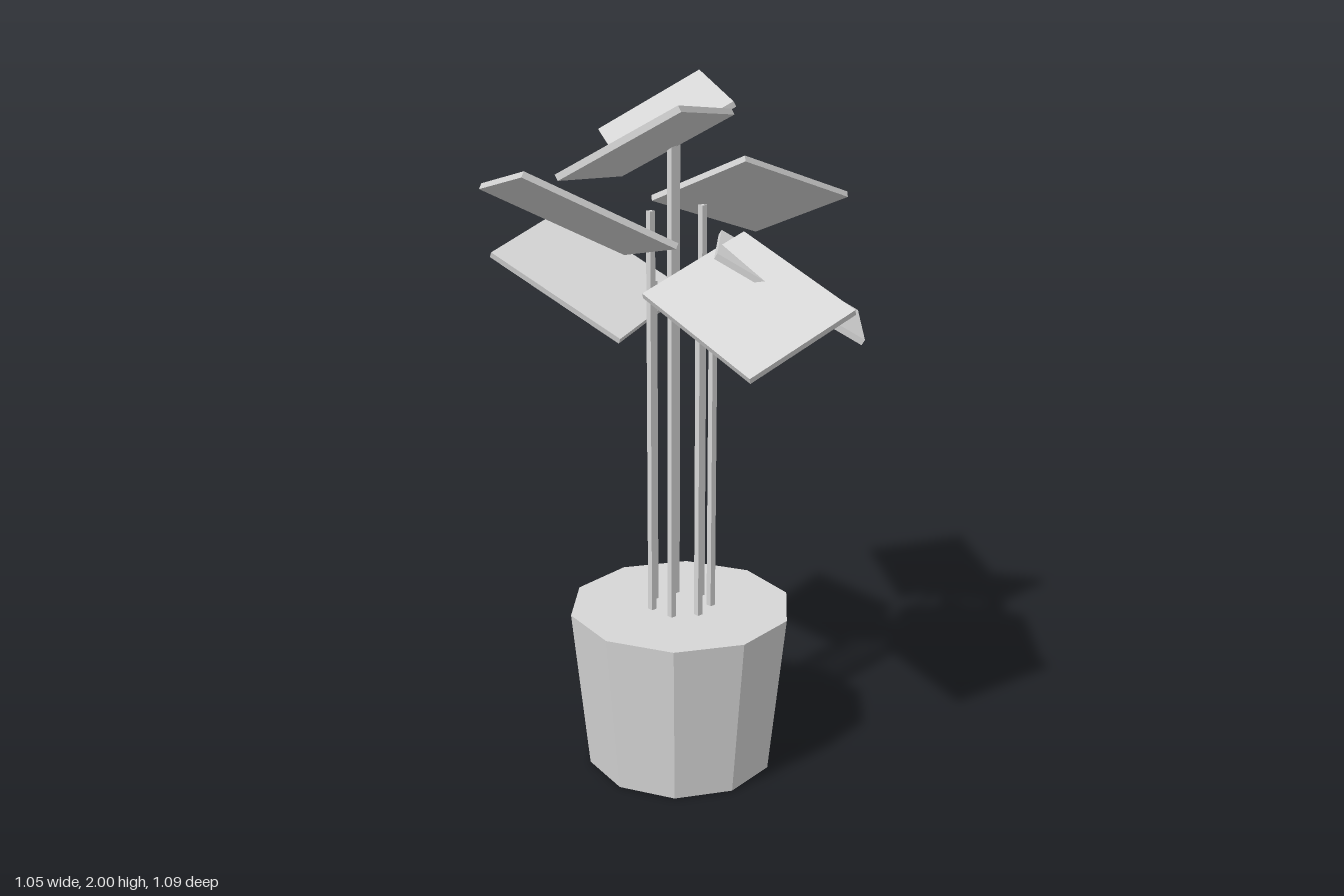
import * as THREE from 'three';

export function createModel() {
  const model = new THREE.Group();
  model.name = 'pottedPlant';
  const grey = new THREE.MeshStandardMaterial({ color: 0xd6d6d6 });
  grey.name = 'light grey';
  grey.flatShading = true;

  const plant = new THREE.Group();
  plant.name = 'plant';
  plant.position.x = 0.02;
  model.add(plant);

  const add = (name, geometry, x, y, z) => {
    const mesh = new THREE.Mesh(geometry, grey);
    mesh.name = name;
    mesh.position.set(x, y, z);
    plant.add(mesh);
  };

  // Ten-sided tapered pot
  const potHeight = 0.49;
  add('pot', new THREE.CylinderGeometry(0.331, 0.281, potHeight, 10), 0, potHeight / 2, 0);

  // Ring of seven square stems, each with a tilted flat leaf
  const low = 1.458, middle = 1.668, high = 1.88;
  const heights = [low, low, high, middle, low, high, middle];
  heights.forEach((top, i) => {
    const angle = (i / heights.length) * Math.PI * 2;
    const c = Math.cos(angle), s = Math.sin(angle);

    const base = potHeight - 0.02;
    add('stem' + (i + 1), new THREE.CylinderGeometry(0.0125, 0.0125, top - base, 4),
      0.09 * c, (top + base) / 2, 0.09 * s);

    // The leaf points outwards while its tilt turns twice as fast around the ring
    const leaf = new THREE.BoxGeometry(0.458, 0.017, 0.352)
      .rotateY(angle).rotateZ(-Math.PI / 6).rotateY(-2 * angle);
    add('leaf' + (i + 1), leaf, 0.3 * c, top, 0.3 * s);
  });

  return model;
}
